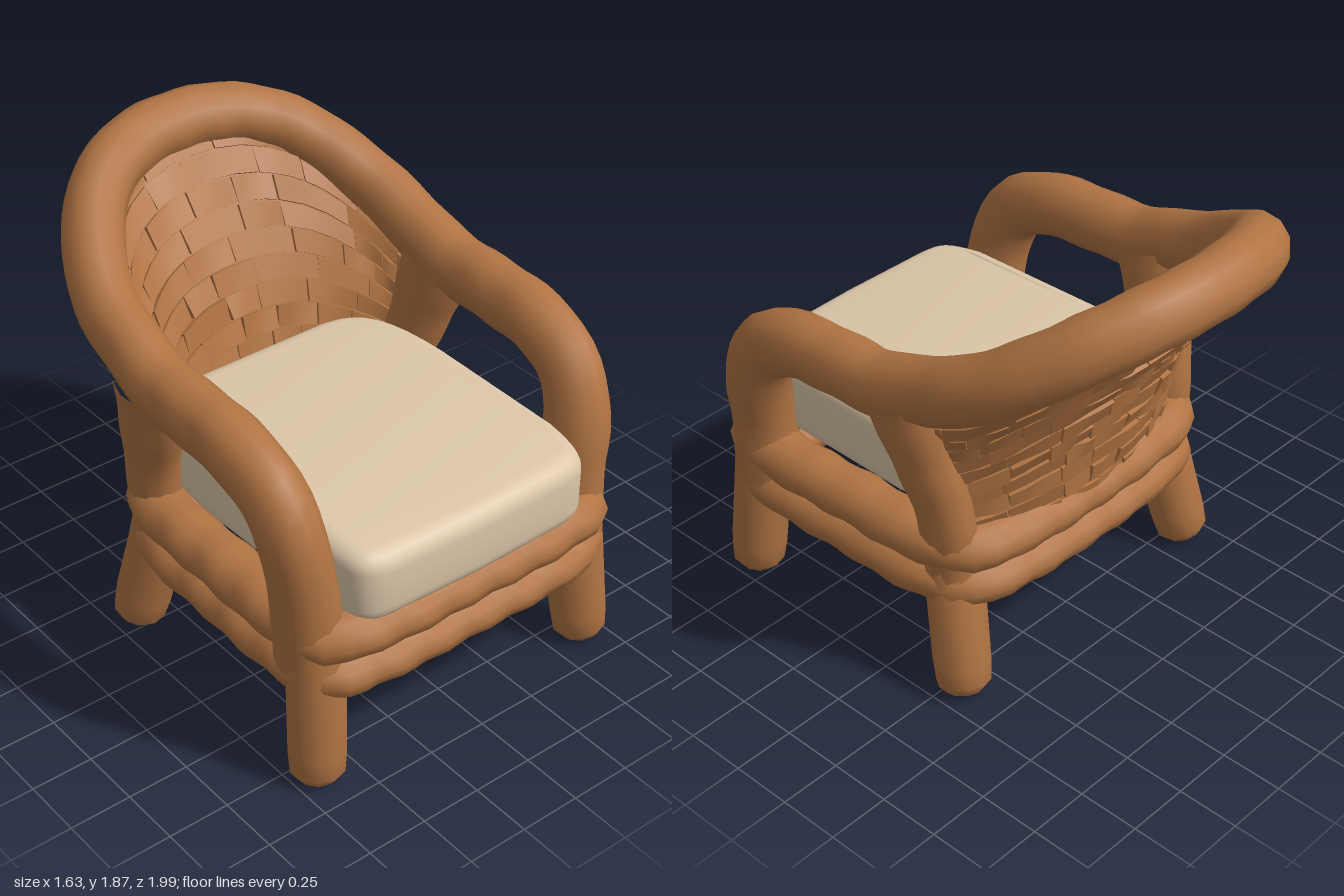
import * as THREE from 'three';
import { mergeGeometries, mergeVertices, toCreasedNormals } from 'three/addons/utils/BufferGeometryUtils.js';

const wicker = new THREE.MeshStandardMaterial({ color: 0xb17443 });
wicker.name = 'wicker';
const fabric = new THREE.MeshStandardMaterial({ color: 0xdcc6a8 });
fabric.name = 'cream fabric';

const vec = (a) => new THREE.Vector3(...a);
const flip = ([x, y, z]) => [-x, y, z];

let seed = 7;
const random = () => (seed = (seed * 16807) % 2147483647) / 2147483647;

function mesh(name, geometry, material = wicker) {
  const m = new THREE.Mesh(geometry, material);
  m.name = name;
  return m;
}

// Remove texture seams so normals run smoothly round a tube
function smooth(geometry) {
  geometry.deleteAttribute('uv');
  geometry.deleteAttribute('normal');
  const g = mergeVertices(geometry, 1e-4);
  g.computeVertexNormals();
  return g;
}

// Slightly lumpy cane: radius(t) sets the thickness, (sx, sy) squash the section
function cane(points, radius, { closed = false, sx = 1, sy = 1, steps = 40, lump = 0.02 } = {}) {
  const curve = new THREE.CatmullRomCurve3(points.map(vec), closed);
  const sides = 12;
  const g = new THREE.TubeGeometry(curve, steps, 1, sides, closed);
  const pos = g.attributes.position;
  const p = new THREE.Vector3();
  for (let i = 0; i <= steps; i++) {
    const t = i / steps;
    const c = curve.getPointAt(closed ? t % 1 : t);
    for (let j = 0; j <= sides; j++) {
      const k = i * (sides + 1) + j;
      p.fromBufferAttribute(pos, k).sub(c);
      const wobble = 1 + lump * Math.sin(c.x * 31 + c.z * 27 + c.y * 19 + p.y * 2);
      p.multiplyScalar(radius(t) * wobble);
      pos.setXYZ(k, c.x + p.x * sx, c.y + p.y * sy, c.z + p.z);
    }
  }
  return smooth(g);
}

// Leg with a worn, rounded foot, leaning from foot to top
function leg(foot, top) {
  const a = vec(foot), d = vec(top).sub(a);
  const h = d.length();
  const profile = [[0, 0], [0.075, 0], [0.105, 0.035], [0.112, 0.12], [0.115, h]]
    .map(([r, y]) => new THREE.Vector2(r, y));
  const g = toCreasedNormals(new THREE.LatheGeometry(profile, 10), 0.7);
  g.applyQuaternion(new THREE.Quaternion().setFromUnitVectors(new THREE.Vector3(0, 1, 0), d.normalize()));
  return g.translate(a.x, a.y, a.z);
}

// Centre line of the back's arched rim, from the right arm to the left arm
const rimHalf = [[0.68, 1.35, -0.2], [0.66, 1.43, -0.39], [0.585, 1.54, -0.57], [0.455, 1.655, -0.73], [0.26, 1.73, -0.84]];
const rim = [...rimHalf.map(flip), [0, 1.752, -0.88], ...[...rimHalf].reverse()];
const rimCurve = new THREE.CatmullRomCurve3(rim.map(vec));

// Back panel surface: u runs across (-1 to 1), v runs from the seat to the rim
function panelPoint(u, v) {
  const low = new THREE.Vector3(0.57 * u, 0.6, -0.36 + 0.16 * u * u);
  const high = rimCurve.getPointAt(THREE.MathUtils.clamp((u + 1) / 2, 0, 1));
  const p = low.lerp(high, v);
  p.z += 0.12 * Math.sin(Math.PI * v) * (1 - u * u);
  return p;
}

function panelNormal(u, v) {
  const e = 0.02;
  const du = panelPoint(Math.min(u + e, 1), v).sub(panelPoint(Math.max(u - e, -1), v));
  const dv = panelPoint(u, v + e).sub(panelPoint(u, v - e));
  return du.cross(dv).normalize();
}

// A block bent onto the panel, with optional uneven corners
function panelBlock(u0, u1, v0, v1, half, jitter, nu, nv) {
  const g = new THREE.BoxGeometry(1, 1, 1, nu, nv, 1);
  const pos = g.attributes.position;
  const bumps = Array.from({ length: 8 }, () => (random() - 0.5) * jitter);
  for (let i = 0; i < pos.count; i++) {
    const a = pos.getX(i), b = pos.getY(i), c = pos.getZ(i);
    const corner = (a > 0 ? 1 : 0) + (b > 0 ? 2 : 0) + (c > 0 ? 4 : 0);
    const u = THREE.MathUtils.lerp(u0, u1, a + 0.5);
    const v = THREE.MathUtils.lerp(v0, v1, b + 0.5);
    const p = panelPoint(u, v).addScaledVector(panelNormal(u, v), c * 2 * half + bumps[corner]);
    pos.setXYZ(i, p.x, p.y, p.z);
  }
  g.computeVertexNormals();
  return g;
}

function wovenBack() {
  const back = new THREE.Group();
  back.name = 'wovenBack';
  back.add(mesh('backCore', panelBlock(-1, 1, 0, 1, 0.034, 0, 28, 14)));
  // Staggered rows of flat cane
  const rows = 12, blocks = [];
  for (let r = 0; r < rows; r++) {
    const v0 = 0.04 + (r / rows) * 0.94, v1 = v0 + 0.94 / rows - 0.006;
    let u = -1;
    while (u < 0.97) {
      const end = Math.min(1, u + 0.17 + random() * 0.2);
      blocks.push(panelBlock(u, end - 0.008, v0, v1, 0.046, 0.02, 3, 1));
      u = end;
    }
  }
  back.add(mesh('backWeave', mergeGeometries(blocks)));
  return back;
}

// Seat pad: rounded plan with soft edges and a gentle crown
function cushion() {
  const s = new THREE.Shape();
  s.moveTo(0, 0.96);
  s.lineTo(0.4, 0.95);
  s.bezierCurveTo(0.53, 0.94, 0.55, 0.9, 0.565, 0.72);
  s.lineTo(0.575, 0.1);
  s.bezierCurveTo(0.57, -0.2, 0.52, -0.35, 0.32, -0.37);
  s.lineTo(-0.32, -0.37);
  s.bezierCurveTo(-0.52, -0.35, -0.57, -0.2, -0.575, 0.1);
  s.lineTo(-0.565, 0.72);
  s.bezierCurveTo(-0.55, 0.9, -0.53, 0.94, -0.4, 0.95);
  s.lineTo(0, 0.96);
  const bevel = 0.07;
  const g = new THREE.ExtrudeGeometry(s, {
    depth: 0.18, bevelSize: bevel, bevelThickness: bevel, bevelOffset: -bevel, bevelSegments: 5, curveSegments: 8,
  });
  g.rotateX(Math.PI / 2).translate(0, 1 - bevel, 0);
  const pos = g.attributes.position;
  for (let i = 0; i < pos.count; i++) {
    const drop = Math.max(0, pos.getZ(i) - 0.7) * 0.12;
    if (pos.getY(i) > 0.85) pos.setY(i, pos.getY(i) - drop);
  }
  return toCreasedNormals(g, 0.9);
}

export function createModel() {
  const chair = new THREE.Group();
  chair.name = 'wickerArmchair';

  // One continuous rail: front post, arm, arched back, arm, front post
  const arm = [[0.63, 0.5, 0.75], [0.64, 0.78, 0.745], [0.67, 1.0, 0.72], [0.685, 1.16, 0.64],
    [0.69, 1.245, 0.48], [0.69, 1.272, 0.25], [0.69, 1.285, 0]];
  const railPath = [...arm.map(flip), ...rim, ...[...arm].reverse()];
  chair.add(mesh('armAndBackRail', cane(railPath, (t) => 0.122 + 0.012 * Math.abs(2 * t - 1), { sx: 0.92, steps: 100 })));

  // Two stacked rolls round the seat
  const half = [[0.42, 0, 0.865], [0.61, 0, 0.82], [0.645, 0, 0.62], [0.64, 0, 0.25], [0.625, 0, -0.12], [0.56, 0, -0.27], [0.33, 0, -0.32]];
  const ring = (y) => [[0, y, 0.87], ...half.map(([x, , z]) => [x, y, z]), [0, y, -0.33],
    ...[...half].reverse().map(([x, , z]) => [-x, y, z])];
  const roll = (y, r) => cane(ring(y), () => r, { closed: true, sy: 0.86, steps: 90, lump: 0.045 });
  chair.add(mesh('upperSeatRoll', roll(0.635, 0.112)), mesh('lowerSeatRoll', roll(0.47, 0.106)));

  // Legs and the posts that flare up into the arms
  for (const [side, s] of [['left', 1], ['right', -1]]) {
    chair.add(
      mesh(side + 'FrontLeg', leg([s * 0.655, 0.015, 0.835], [s * 0.62, 0.6, 0.78])),
      mesh(side + 'RearLeg', leg([s * 0.645, 0.025, -0.315], [s * 0.57, 0.6, -0.19])),
      mesh(side + 'RearPost', cane(
        [[s * 0.595, 0.5, -0.21], [s * 0.615, 0.8, -0.2], [s * 0.65, 1.05, -0.14], [s * 0.68, 1.28, -0.08]],
        (t) => 0.112 + 0.05 * t * t, { sx: 0.85, steps: 14 })),
    );
  }

  chair.add(wovenBack());
  chair.add(mesh('seatCushion', cushion(), fabric));
  return chair;
}
